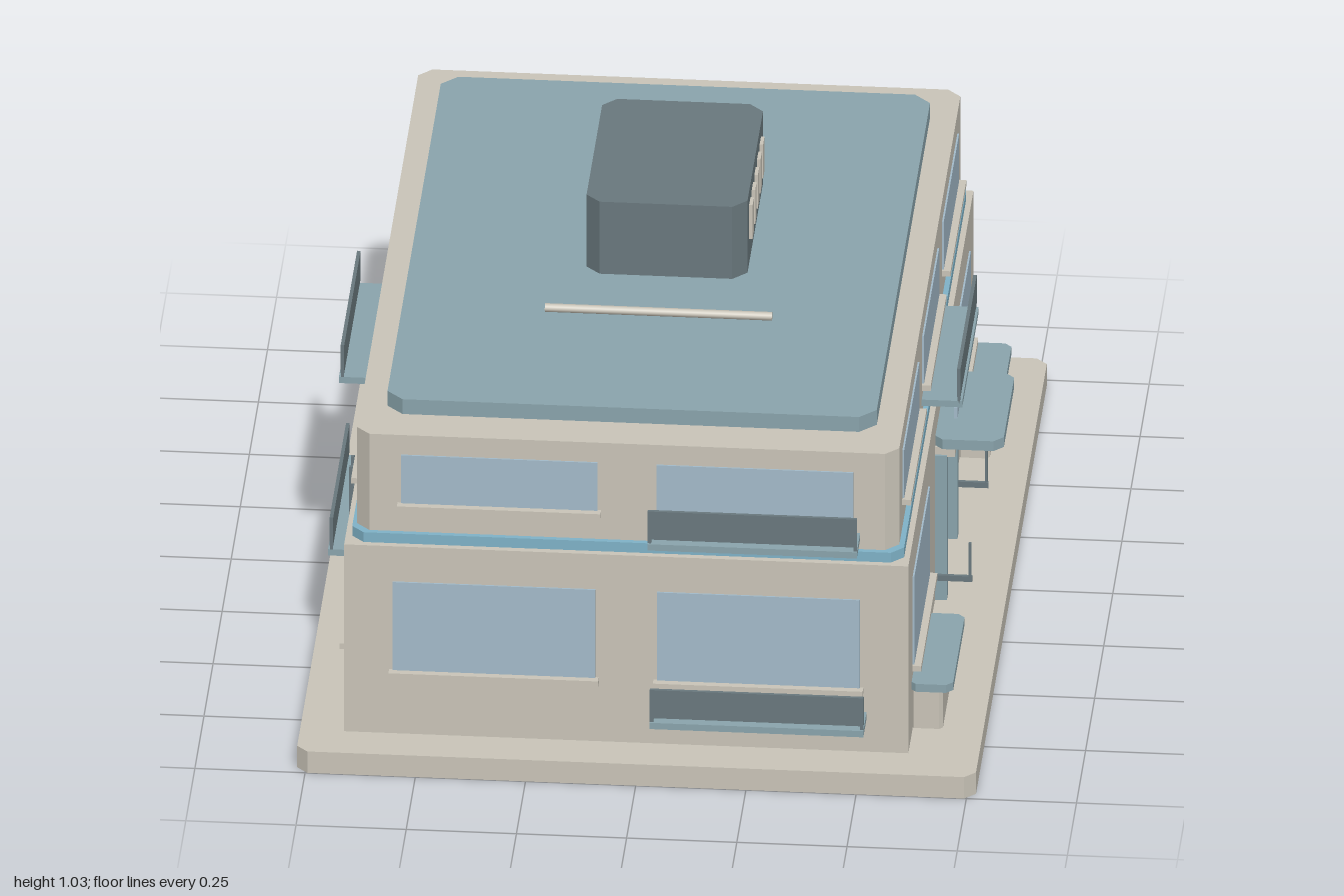
import * as THREE from 'three';

const mat = (name, color) => {
  const m = new THREE.MeshStandardMaterial({ color });
  m.name = name;
  return m;
};

export function createModel() {
  const stone = mat('stone', 0xc9c4b8);
  const teal = mat('teal', 0x8aa4ac);
  const blue = mat('bandBlue', 0x7fb2c7);
  const glass = mat('glass', 0xa3bac9);
  const dark = mat('darkMetal', 0x69787d);

  const model = new THREE.Group();
  model.name = 'building';

  const add = (parent, name, geometry, material) => {
    const mesh = new THREE.Mesh(geometry, material);
    mesh.name = name;
    parent.add(mesh);
    return mesh;
  };

  // Box given by its limits on each axis
  const box = (parent, name, material, [x0, x1], [y0, y1], [z0, z1]) => {
    const mesh = add(parent, name, new THREE.BoxGeometry(x1 - x0, y1 - y0, z1 - z0), material);
    mesh.position.set((x0 + x1) / 2, (y0 + y1) / 2, (z0 + z1) / 2);
    return mesh;
  };

  // Upright block with its four vertical corners cut by c
  const block = (parent, name, material, [x0, x1], [y0, y1], [z0, z1], c) => {
    const a = (x1 - x0) / 2, b = (z1 - z0) / 2;
    const corners = [[a - c, -b], [a, c - b], [a, b - c], [a - c, b], [c - a, b], [-a, b - c], [-a, c - b], [c - a, -b]];
    const shape = new THREE.Shape(corners.map(p => new THREE.Vector2(...p)));
    const geometry = new THREE.ExtrudeGeometry(shape, { depth: y1 - y0, bevelEnabled: false });
    geometry.rotateX(-Math.PI / 2);
    const mesh = add(parent, name, geometry, material);
    mesh.position.set((x0 + x1) / 2, y0, (z0 + z1) / 2);
    return mesh;
  };

  // Main storeys
  block(model, 'base', stone, [-0.77, 0.77], [0, 0.055], [-1, 1], 0.025);
  box(model, 'lowerStorey', stone, [-0.67, 0.61], [0.055, 0.535], [-0.897, 0.897]);
  block(model, 'floorBand', blue, [-0.655, 0.597], [0.535, 0.56], [-0.882, 0.882], 0.028);
  block(model, 'upperStorey', stone, [-0.645, 0.585], [0.56, 0.807], [-0.87, 0.87], 0.03);
  block(model, 'roof', teal, [-0.585, 0.525], [0.807, 0.845], [-0.77, 0.77], 0.037);

  // Rooftop plant room with vents, and the loose pipe
  block(model, 'roofRoom', dark, [-0.185, 0.18], [0.845, 1.03], [-0.353, 0.138], 0.032);
  for (let i = 0; i < 5; i++) {
    const z = 0.043 - i * 0.0725;
    box(model, 'vent', stone, [0.178, 0.188], [0.908, 0.995], [z - 0.019, z + 0.019]);
  }
  const pipe = add(model, 'roofPipe', new THREE.CylinderGeometry(0.01, 0.01, 0.515, 10), stone);
  pipe.rotation.z = Math.PI / 2;
  pipe.position.set(-0.002, 0.865, 0.345);

  // Window with its sill, on a wall at distance d
  const windowUnit = (wall, u, width, y0, y1, d) => {
    const w = width / 2;
    box(wall, 'window', glass, [u - w, u + w], [y0, y1], [d - 0.003, d + 0.004]);
    box(wall, 'sill', stone, [u - w - 0.008, u + w + 0.008], [y0 - 0.005, y0 + 0.009], [d, d + 0.02]);
  };

  // Balcony slab with a thin solid railing
  const balcony = (wall, u, width, y, d) => {
    const w = width / 2;
    box(wall, 'balconySlab', teal, [u - w, u + w], [y, y + 0.016], [d, d + 0.092]);
    box(wall, 'balconyRailing', dark, [u - w, u + w], [y + 0.026, y + 0.098], [d + 0.08, d + 0.088]);
    for (const s of [-1, 1]) {
      const e = u + s * (w - 0.004);
      box(wall, 'railingPost', dark, [e - 0.004, e + 0.004], [y + 0.01, y + 0.03], [d + 0.081, d + 0.087]);
    }
  };

  // Four walls; each group faces outwards along its own z
  const walls = [
    { name: 'frontWall', turn: 0, balconySide: 1 },
    { name: 'backWall', turn: Math.PI, balconySide: -1 },
    { name: 'leftWall', turn: Math.PI / 2, long: true, door: true },
    { name: 'rightWall', turn: -Math.PI / 2, long: true },
  ];
  for (const { name, turn, balconySide, long, door } of walls) {
    const wall = new THREE.Group();
    wall.name = name;
    wall.position.x = -0.03;
    wall.rotation.y = turn;
    model.add(wall);
    const low = long ? 0.64 : 0.897, high = long ? 0.615 : 0.87;
    for (const i of long ? [-1, 0, 1] : [-1, 1]) {
      if (!(door && i === 0)) windowUnit(wall, i * (long ? 0.562 : 0.3), long ? 0.43 : 0.46, 0.21, 0.445, low);
      windowUnit(wall, i * (long ? 0.546 : 0.29), long ? 0.42 : 0.446, 0.625, 0.757, high);
    }
    if (!door) balcony(wall, long ? 0 : balconySide * 0.303, long ? 0.45 : 0.485, 0.141, low);
    balcony(wall, long ? 0 : balconySide * 0.291, long ? 0.45 : 0.475, 0.585, high);
  }

  // Entrance: posts, lintel, canopy, sign panel and lamp strip
  for (const s of [-1, 1]) {
    const z = 0.004 + s * 0.146;
    box(model, 'doorPost', teal, [0.605, 0.637], [0.055, 0.425], [z - 0.014, z + 0.014]);
    // Thin hand rail beside the door
    const r = 0.004 + s * 0.224;
    box(model, 'handRail', dark, [0.61, 0.7], [0.141, 0.155], [r - 0.004, r + 0.004]);
    box(model, 'handRailPost', dark, [0.692, 0.698], [0.155, 0.24], [r - 0.003, r + 0.003]);
  }
  box(model, 'lintel', stone, [0.605, 0.655], [0.42, 0.445], [-0.15, 0.158]);
  block(model, 'canopy', teal, [0.605, 0.765], [0.445, 0.47], [-0.16, 0.168], 0.022);
  box(model, 'canopySign', glass, [0.645, 0.653], [0.47, 0.498], [-0.058, 0.066]);
  box(model, 'lampStrip', blue, [0.683, 0.695], [0.439, 0.446], [-0.12, 0.125]);

  // Benches on either side of the entrance
  for (const s of [-1, 1]) {
    const z = s * 0.646;
    block(model, 'benchBase', stone, [0.605, 0.678], [0.055, 0.17], [z - 0.13, z + 0.13], 0.008);
    block(model, 'benchTop', teal, [0.605, 0.704], [0.17, 0.19], [z - 0.17, z + 0.17], 0.015);
  }

  // Wall ladder
  for (const z of [0.41, 0.46]) box(model, 'ladderRail', dark, [-0.694, -0.686], [0.1, 0.5], [z - 0.004, z + 0.004]);
  for (let i = 0; i < 8; i++) {
    const y = 0.125 + i * 0.05;
    box(model, 'ladderRung', dark, [-0.693, -0.687], [y - 0.003, y + 0.003], [0.41, 0.46]);
  }

  return model;
}
